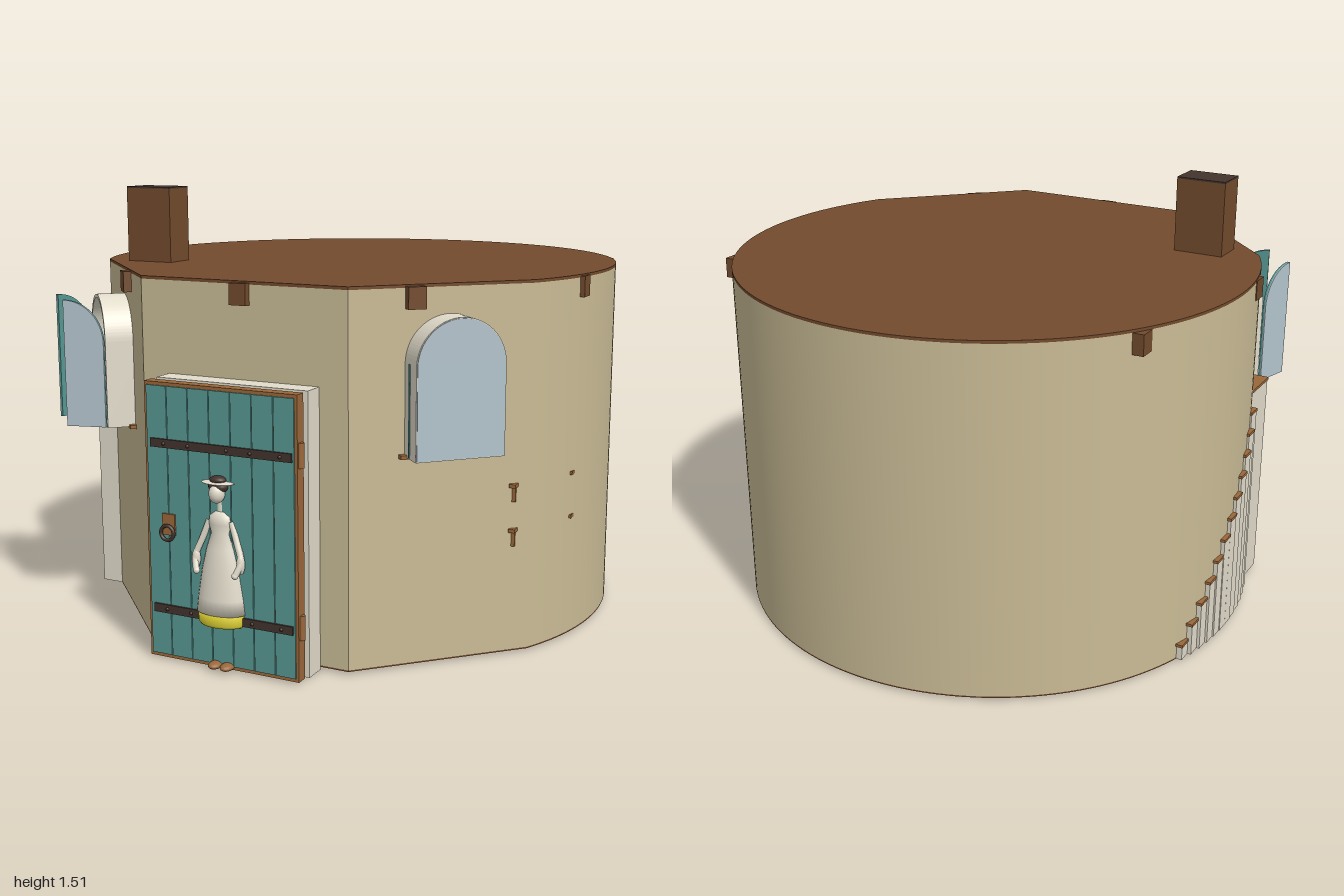
import * as THREE from 'three';
import { toCreasedNormals } from 'three/addons/utils/BufferGeometryUtils.js';

const mat = (name, color, side = THREE.FrontSide) => {
  const m = new THREE.MeshStandardMaterial({ color, side });
  m.name = name;
  return m;
};

export function createModel() {
  const root = new THREE.Group();
  root.name = 'roundTowerHouse';
  const plaster = mat('plaster', 0xc9bb95), timber = mat('darkTimber', 0x734b2d);
  const wood = mat('lightWood', 0x9a673a), teal = mat('tealPaint', 0x569791);
  const iron = mat('darkIron', 0x43332d), cream = mat('cream', 0xe2dccb);
  const glass = mat('paleGlass', 0xb3c3cd), yellow = mat('yellowCloth', 0xd6c930);

  const add = (parent, name, geo, material, x = 0, y = 0, z = 0) => {
    const m = new THREE.Mesh(geo, material);
    m.name = name;
    m.position.set(x, y, z);
    parent.add(m);
    return m;
  };
  // box given by its min and max on each axis
  const box = (parent, name, material, x0, x1, y0, y1, z0, z1) =>
    add(parent, name, new THREE.BoxGeometry(x1 - x0, y1 - y0, z1 - z0), material,
      (x0 + x1) / 2, (y0 + y1) / 2, (z0 + z1) / 2);
  const extrude = (shape, depth) => toCreasedNormals(
    new THREE.ExtrudeGeometry(shape, { depth, bevelEnabled: false, curveSegments: 64 }), 0.4);

  // Round plan with two slanted walls and a flat front
  const plan = new THREE.Shape();
  plan.moveTo(-0.375, -0.8);
  plan.lineTo(0.375, -0.8);
  plan.lineTo(0.818, -0.357);
  plan.absarc(0, 0.075, 0.925, -0.486, Math.PI + 0.486, false);
  plan.closePath();
  const slab = (name, material, y, h) => {
    add(root, name, extrude(plan, h), material, 0, y, 0).rotation.x = -Math.PI / 2;
  };
  slab('floor', timber, 0.01, 0.005);
  slab('walls', plaster, 0.015, 1.215);
  slab('roof', timber, 1.23, 0.01);

  // Chimney
  box(root, 'chimney', timber, -0.71, -0.53, 1.23, 1.5, 0.27, 0.39);
  box(root, 'chimneyTop', iron, -0.71, -0.53, 1.5, 1.506, 0.27, 0.39);

  // Beam ends under the roof
  const beam = (x, z, turn, y = 1.2) => {
    add(root, 'beamEnd', new THREE.BoxGeometry(0.06, 0.07, 0.06), timber, x, y, z).rotation.y = turn;
  };
  beam(0, 0.795, 0);
  for (const s of [-1, 1]) {
    beam(s * 0.525, 0.645, s * Math.PI / 4);
    beam(s * 0.885, 0.11, 0);
    beam(s * 0.78, -0.555, 0, 1.195);
  }

  // Arched windows on the slanted walls
  const arch = (r, y0) => {
    const s = new THREE.Shape();
    s.moveTo(-r, y0);
    s.lineTo(r, y0);
    s.lineTo(r, 0.995);
    s.absarc(0, 0.995, r, 0, Math.PI, false);
    s.closePath();
    return s;
  };
  for (const s of [-1, 1]) {
    const win = new THREE.Group();
    win.name = s > 0 ? 'leftWindow' : 'rightWindow';
    win.position.set(s * 0.6125, 0, 0.5625);
    win.rotation.y = s * Math.PI / 4;
    root.add(win);
    box(win, 'sill', wood, -0.17, 0.17, 0.695, 0.708, -0.01, 0.022);
    const outer = arch(0.15, 0.7);
    if (s > 0) {
      add(win, 'windowSurround', extrude(outer, 0.125), cream, 0, 0, -0.03);
      add(win, 'windowPane', extrude(arch(0.147, 0.703), 0.004), glass, 0, 0, 0.094);
      box(win, 'closedShutter', teal, -0.152, 0.152, 0.705, 1.0, 0.035, 0.045);
      continue;
    }
    outer.holes.push(arch(0.138, 0.712));
    add(win, 'windowSurround', extrude(outer, 0.125), cream, 0, 0, -0.03);
    add(win, 'windowPane', extrude(arch(0.14, 0.71), 0.004), glass, 0, 0, 0.004);
    // Two open shutters: painted inside, pale outside
    for (const h of [-1, 1]) {
      const half = new THREE.Shape();
      half.moveTo(0, 0.705);
      half.lineTo(-h * 0.14, 0.705);
      for (let i = 0; i <= 12; i++) {
        const a = Math.PI / 2 * (1 - i / 12);
        half.lineTo(-h * 0.14 * (1 - Math.cos(a)), 0.995 + 0.145 * Math.sin(a));
      }
      half.closePath();
      const shutter = new THREE.Group();
      shutter.name = 'openShutter';
      shutter.position.set(h * 0.148, 0, 0.097);
      shutter.rotation.y = h * Math.PI / 3;
      win.add(shutter);
      add(shutter, 'shutterInside', extrude(half, 0.008), teal);
      add(shutter, 'shutterOutside', extrude(half, 0.004), glass, 0, 0, 0.008);
    }
  }

  // Outside stair along the right wall, with a landing
  const steps = 12;
  for (let i = 0; i < steps; i++) {
    const z = -0.37 + i * 0.048, h = 0.06 * (i + 1);
    const x = -Math.sqrt(0.8556 - (z + 0.1) ** 2) - 0.012;
    box(root, 'step', cream, x, -0.78, 0.01, h, z, z + 0.048);
    box(root, 'tread', wood, x - 0.003, -0.78, h, h + 0.01, z - 0.006, z + 0.048);
  }
  box(root, 'landing', cream, -0.87, -0.77, 0.01, 0.77, 0.206, 0.388);
  box(root, 'landingTread', wood, -0.873, -0.74, 0.77, 0.78, 0.2, 0.39);

  // Small brackets on the left wall
  for (const [x, z] of [[0.777, 0.4], [0.89, 0.15]])
    for (const y of [0.575, 0.425]) {
      box(root, 'bracketArm', wood, x - 0.012, x + 0.01, y - 0.006, y + 0.006, z - 0.018, z + 0.018);
      box(root, 'bracketLeg', wood, x - 0.012, x + 0.006, y - 0.055, y, z - 0.004, z + 0.004);
    }

  // Door surround
  const frame = new THREE.Group();
  frame.name = 'doorSurround';
  root.add(frame);
  for (const s of [-1, 1]) box(frame, 'jamb', cream, s * 0.255 - 0.02, s * 0.255 + 0.02, 0, 0.925, 0.8, 0.875);
  box(frame, 'lintel', cream, -0.235, 0.235, 0.885, 0.925, 0.8, 0.875);
  box(frame, 'doorwayBack', wood, -0.235, 0.235, 0.01, 0.885, 0.8, 0.806);

  // Door: wooden leaf, painted planks, straps, hinges, rings
  const door = new THREE.Group();
  door.name = 'door';
  root.add(door);
  box(door, 'doorLeaf', wood, -0.275, 0.275, 0.01, 0.925, 0.905, 0.945);
  const edges = [-0.267, -0.19, -0.112, -0.035, 0.042, 0.118, 0.194, 0.267];
  for (let i = 0; i < 7; i++)
    box(door, 'plank', teal, edges[i] + 0.0015, edges[i + 1] - 0.0015, 0.022, 0.914, 0.945, 0.95);
  for (const y of [0.73, 0.18]) {
    box(door, 'strap', iron, -0.25, 0.26, y - 0.014, y + 0.014, 0.948, 0.957);
    for (const x of [-0.2, -0.11, 0.03, 0.115, 0.22])
      add(door, 'strapStud', new THREE.SphereGeometry(0.006, 8, 6), iron, x, y, 0.957);
    add(door, 'hinge', new THREE.CylinderGeometry(0.012, 0.012, 0.08, 12), wood, 0.275, y + 0.005, 0.925);
  }
  box(door, 'handlePlate', wood, -0.212, -0.165, 0.43, 0.5, 0.949, 0.956);
  for (const z of [0.965, 0.895])
    add(door, 'handleRing', new THREE.TorusGeometry(0.024, 0.006, 8, 24), iron, -0.188, 0.44, z);

  // Standing figure in front of the door
  const figure = new THREE.Group();
  figure.name = 'figure';
  figure.position.z = 0.945;
  root.add(figure);
  const lathe = (name, material, pts) => {
    const m = add(figure, name, new THREE.LatheGeometry(pts.map(p => new THREE.Vector2(...p)), 24), material);
    m.scale.z = 0.62;
    return m;
  };
  const ball = (name, material, x, y, z, sx, sy, sz) => {
    const m = add(figure, name, new THREE.SphereGeometry(1, 16, 12), material, x, y, z);
    m.scale.set(sx, sy, sz);
    return m;
  };
  lathe('hem', yellow, [[0, 0.16], [0.076, 0.16], [0.083, 0.168], [0.084, 0.205], [0, 0.21]]);
  lathe('dress', cream, [[0, 0.202], [0.088, 0.202], [0.082, 0.25], [0.067, 0.34], [0.05, 0.41],
    [0.033, 0.46], [0.041, 0.49], [0.038, 0.515], [0.018, 0.53], [0, 0.532]]);
  lathe('neck', cream, [[0.012, 0.525], [0.011, 0.57]]);
  ball('head', cream, 0, 0.593, 0.02, 0.026, 0.032, 0.027);
  ball('hair', iron, 0, 0.613, 0.01, 0.034, 0.022, 0.027);
  ball('hatBrim', cream, 0, 0.626, 0.012, 0.058, 0.005, 0.034);
  ball('hatCrown', iron, 0, 0.635, 0.012, 0.028, 0.013, 0.022);
  for (const s of [-1, 1]) {
    const path = new THREE.CatmullRomCurve3([[0.04, 0.5, 0], [0.062, 0.44, 0.008], [0.083, 0.38, 0.02], [0.072, 0.34, 0.035]]
      .map(([x, y, z]) => new THREE.Vector3(s * x, y, z)));
    add(figure, 'arm', new THREE.TubeGeometry(path, 12, 0.011, 8), cream);
    ball('sleeve', cream, s * 0.081, 0.372, 0.018, 0.014, 0.034, 0.014);
    ball('hand', cream, s * 0.07, 0.338, 0.036, 0.011, 0.011, 0.011);
    ball('foot', wood, s * 0.022, 0.022, 0.012, 0.022, 0.012, 0.03);
  }
  return root;
}
